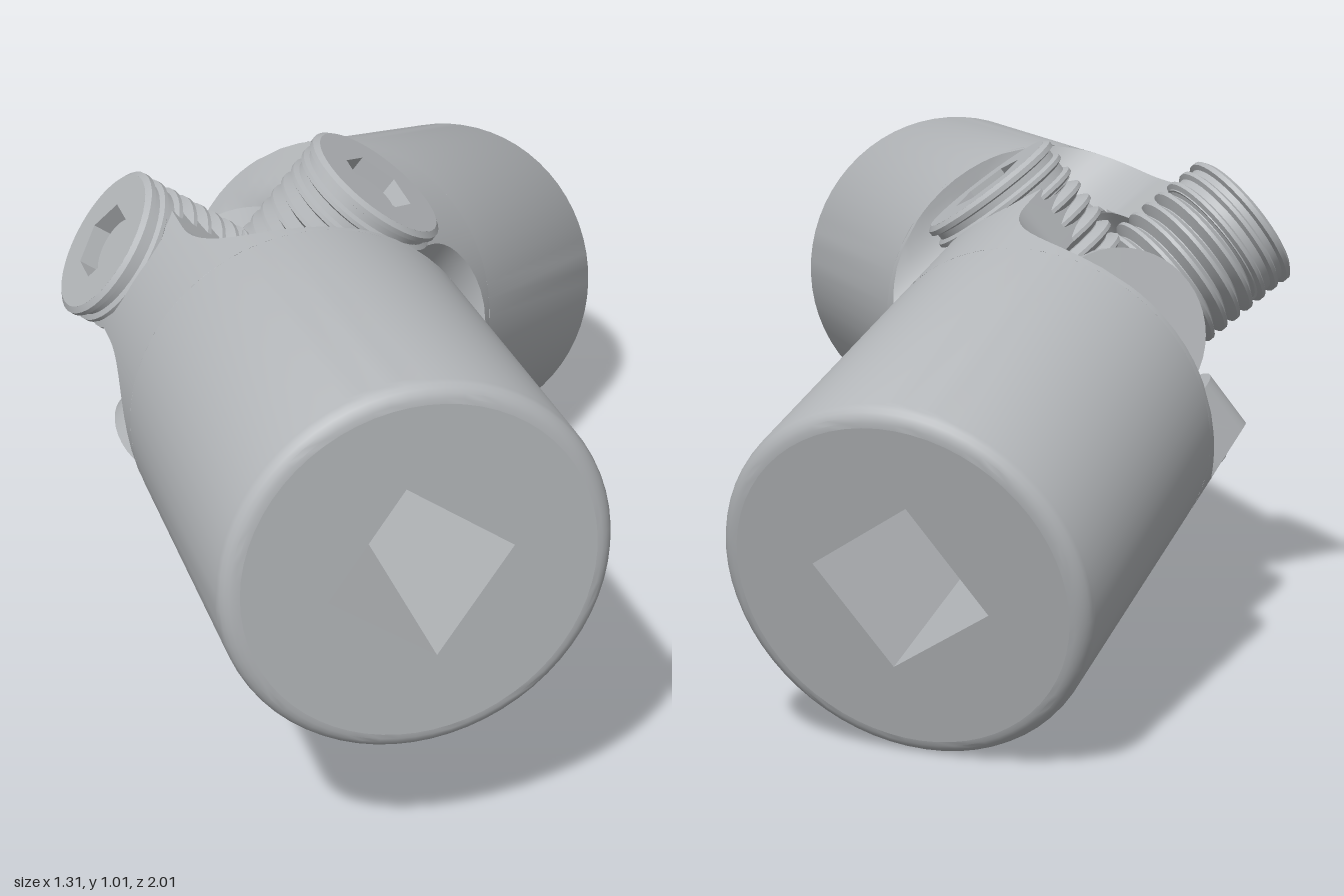
import * as THREE from 'three';
import { toCreasedNormals } from 'three/addons/utils/BufferGeometryUtils.js';

const R = 0.35;          // body radius
const LEN = 1.035;       // pivot to outer end
const GAP = 0.205;       // half width of the fork slot
const TONGUE = 0.13;     // half width of a fork arm
const FILLET = 0.2;
const SHOULDER = 0.345;
const JOIN = 0.36;       // where the fork meets the plain barrel

const steel = new THREE.MeshStandardMaterial({ color: 0xb4b7ba, side: THREE.DoubleSide });
steel.name = 'steel';

function add(parent, name, geometry) {
  const mesh = new THREE.Mesh(geometry, steel);
  mesh.name = name;
  parent.add(mesh);
  return mesh;
}

function lathe(pairs, segments = 64) {
  const g = new THREE.LatheGeometry(pairs.map(([x, y]) => new THREE.Vector2(x, y)), segments);
  return toCreasedNormals(g, 0.5);
}

// Disc with a regular polygonal socket, extruded along +z
function socketDisc(radius, sides, socketRadius, turn, depth) {
  const shape = new THREE.Shape().absarc(0, 0, radius, 0, Math.PI * 2);
  const hole = [];
  for (let i = 0; i < sides; i++) {
    const t = turn - (i / sides) * Math.PI * 2;
    hole.push(new THREE.Vector2(Math.cos(t) * socketRadius, Math.sin(t) * socketRadius));
  }
  shape.holes.push(new THREE.Path(hole));
  const g = new THREE.ExtrudeGeometry(shape, { depth, bevelEnabled: false, curveSegments: 32 });
  return toCreasedNormals(g, 0.5);
}

// Fork end: arm outline in (y, z) swept across x, with a round-bottomed slot
function forkGeometry() {
  const half = [[-R, SHOULDER], [-0.348, SHOULDER], [-0.343, SHOULDER], [-0.337, SHOULDER]];
  for (let i = 0; i <= 12; i++) {
    const t = (i / 12) * Math.PI / 2;
    half.push([-TONGUE - FILLET + FILLET * Math.sin(t), SHOULDER - FILLET + FILLET * Math.cos(t)]);
  }
  for (let i = 0; i <= 10; i++) {
    const t = Math.PI + (i / 10) * Math.PI / 2;
    half.push([TONGUE * Math.cos(t), TONGUE * Math.sin(t)]);
  }
  const outline = [...half, ...half.slice(0, -1).reverse().map(([y, z]) => [-y, z])];
  const slotBase = SHOULDER - GAP;
  const rows = outline.map(([y, z]) => {
    const out = Math.sqrt(Math.max(0, R * R - y * y));
    const inner = Math.min(GAP, out);
    const row = [[-out, y, JOIN], [-out, y, z], [-inner, y, z]];
    for (let i = 0; i <= 24; i++) {
      const t = Math.PI * (1 - i / 24);
      const x = THREE.MathUtils.clamp(GAP * Math.cos(t), -inner, inner);
      row.push([x, y, Math.max(z, slotBase + Math.sqrt(Math.max(0, GAP * GAP - x * x)))]);
    }
    row.push([inner, y, z], [out, y, z], [out, y, JOIN]);
    return row.map((p) => new THREE.Vector3(...p));
  });
  const pos = [];
  const tri = new THREE.Triangle();
  const face = (a, b, c) => {
    if (tri.set(a, b, c).getArea() > 1e-9) for (const p of [a, b, c]) pos.push(p.x, p.y, p.z);
  };
  for (let i = 0; i + 1 < rows.length; i++) {
    for (let j = 0; j + 1 < rows[i].length; j++) {
      const a = rows[i][j], b = rows[i + 1][j], c = rows[i + 1][j + 1], d = rows[i][j + 1];
      face(a, b, d);
      face(b, c, d);
    }
  }
  const g = new THREE.BufferGeometry();
  g.setAttribute('position', new THREE.Float32BufferAttribute(pos, 3));
  return toCreasedNormals(g, 0.6);
}

// Threaded grub screw with a hexagon socket, along +x
function setScrew() {
  const screw = new THREE.Group();
  screw.name = 'setScrew';
  const top = 0.388, tip = 0.07;
  const profile = [[0, tip], [0.11, tip]];
  for (let y = tip + 0.02; y < top - 0.04; y += 0.034) {
    profile.push([0.13, y], [0.152, y + 0.012], [0.152, y + 0.02], [0.13, y + 0.032]);
  }
  profile.push([0.13, top - 0.026], [0.153, top - 0.018], [0.153, top - 0.008], [0.142, top]);
  add(screw, 'screwThread', lathe(profile, 40).rotateZ(-Math.PI / 2));
  const head = socketDisc(0.142, 6, 0.078, 0, 0.09);
  add(screw, 'hexSocket', head.translate(0, 0, top - 0.09).rotateY(Math.PI / 2));
  const floor = new THREE.CircleGeometry(0.1, 24);
  add(screw, 'hexSocketFloor', floor.translate(0, 0, top - 0.088).rotateY(Math.PI / 2));
  return screw;
}

// One yoke: local z runs from pivot to outer end, local x is its pin axis
function yoke(name) {
  const group = new THREE.Group();
  group.name = name;
  add(group, 'fork', forkGeometry());
  const f = 0.035;
  const profile = [[R, JOIN]];
  for (let i = 0; i <= 6; i++) {
    const t = (i / 6) * Math.PI / 2;
    profile.push([R - f + f * Math.cos(t), LEN - f + f * Math.sin(t)]);
  }
  add(group, 'barrel', lathe(profile).rotateX(Math.PI / 2));
  const bottom = 0.48;
  const end = socketDisc(R - f, 4, 0.167, Math.PI / 4, LEN - bottom);
  add(group, 'endWithSquareSocket', end.translate(0, 0, bottom));
  const floor = new THREE.PlaneGeometry(0.28, 0.28);
  add(group, 'squareSocketFloor', floor.translate(0, 0, bottom + 0.002));
  group.add(setScrew());
  // Pivot pin through both arms, with chamfered ends
  const pin = lathe([[0, -0.358], [0.06, -0.358], [0.075, -0.345],
    [0.075, 0.345], [0.06, 0.358], [0, 0.358]], 32);
  add(group, 'pivotPin', pin.rotateZ(-Math.PI / 2));
  return group;
}

function place(object, x, z, pivot) {
  const y = z.clone().cross(x);
  object.quaternion.setFromRotationMatrix(new THREE.Matrix4().makeBasis(x, y, z));
  object.position.copy(pivot);
  return object;
}

export function createModel() {
  const model = new THREE.Group();
  model.name = 'universalJoint';
  const pivot = new THREE.Vector3(-0.25, 0.615, -0.035);
  const frontAxis = new THREE.Vector3(0, 0, 1);
  const rearAxis = new THREE.Vector3(0.63, -0.275, -0.725).normalize();
  const frontPin = new THREE.Vector3(-0.815, 0.58, 0).normalize();
  const rearPin = rearAxis.clone().cross(frontPin).normalize();

  model.add(place(yoke('frontYoke'), frontPin, frontAxis, pivot));
  model.add(place(yoke('rearYoke'), rearPin, rearAxis, pivot));

  // Centre block carrying both pins
  const block = add(model, 'centreBlock',
    new THREE.CylinderGeometry(0.175, 0.175, 0.34, 48).rotateX(Math.PI / 2));
  place(block, frontPin, frontPin.clone().cross(rearPin).normalize(), pivot);
  return model;
}
